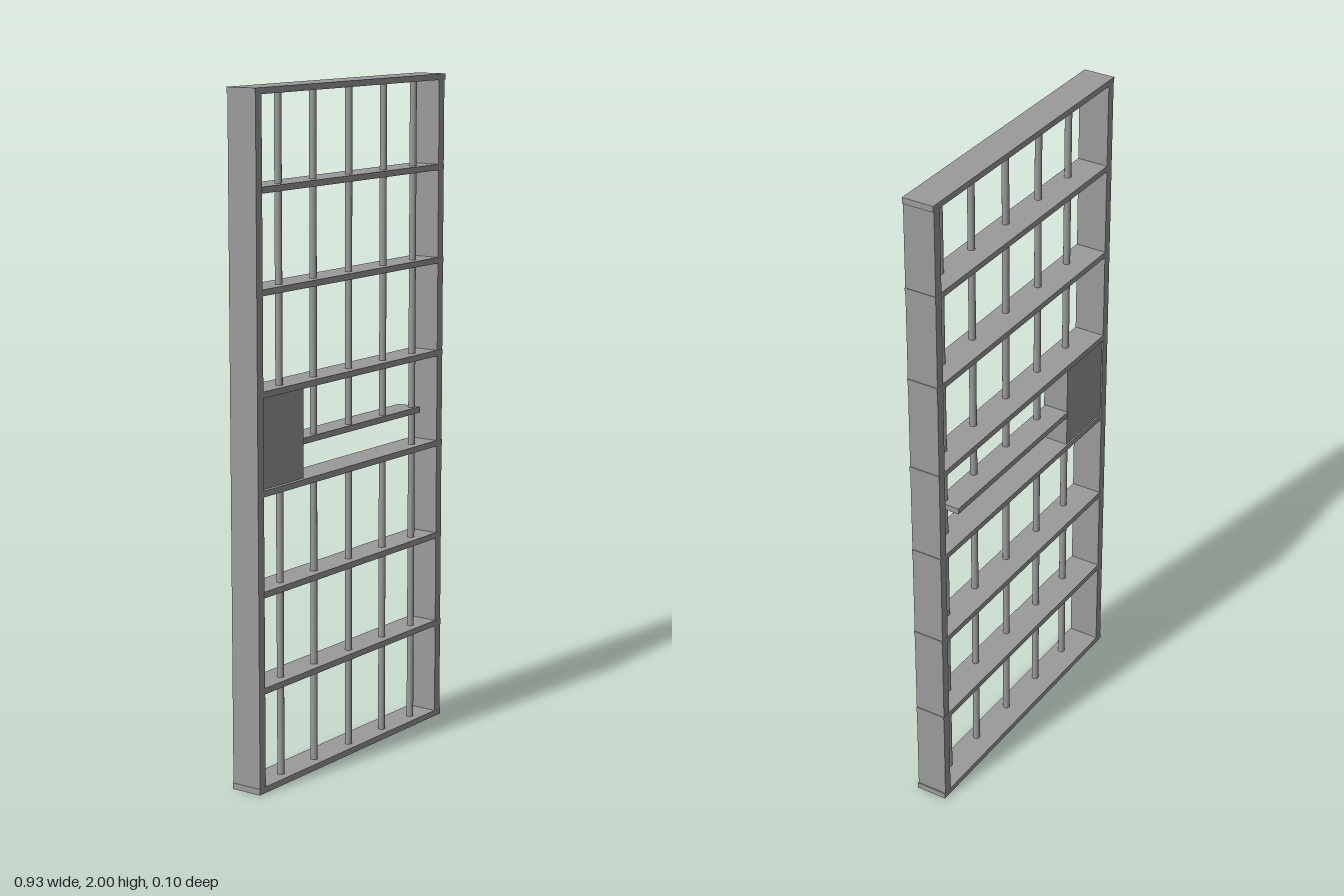
import * as THREE from 'three';

const material = new THREE.MeshStandardMaterial({ color: 0x9b9b9b });

export function createModel() {
  const group = new THREE.Group();

  const add = (name, geometry, x, y, z) => {
    const mesh = new THREE.Mesh(geometry, material);
    mesh.name = name;
    mesh.position.set(x, y, z);
    group.add(mesh);
  };
  // Box given by its x, y and z extents
  const box = (name, x0, x1, y0, y1, z0, z1) =>
    add(name, new THREE.BoxGeometry(x1 - x0, y1 - y0, z1 - z0),
      (x0 + x1) / 2, (y0 + y1) / 2, (z0 + z1) / 2);
  // Round vertical bar, set slightly forward of the middle
  const bar = (name, x, y0, y1) =>
    add(name, new THREE.CylinderGeometry(0.0105, 0.0105, y1 - y0, 16), x, (y0 + y1) / 2, 0.015);

  // Side posts
  box('rightPost', -0.465, -0.438, 0.002, 1.998, -0.048, 0.048);
  box('leftPost', 0.435, 0.463, 0.002, 1.998, -0.048, 0.048);

  // Top and bottom rails
  box('bottomRail', -0.467, 0.467, 0, 0.018, -0.0485, 0.0485);
  box('topRail', -0.467, 0.467, 1.982, 2, -0.0485, 0.0485);

  // Cross rails, let through the left post
  for (const y of [0.302, 0.583, 0.874, 1.155, 1.44, 1.722])
    box('crossRail', -0.44, 0.465, y - 0.009, y + 0.009, -0.0485, 0.0485);

  // Lock box, recessed at the front, and the handle shelf beside it
  box('lockBox', -0.44, -0.236, 0.866, 1.164, -0.044, 0.036);
  box('handleShelf', -0.24, 0.366, 0.98, 0.998, -0.046, 0.033);

  // Vertical bars, interrupted by the lock box and the opening below the shelf
  for (const x of [-0.322, -0.159, 0.015, 0.19]) {
    bar('lowerBar', x, 0.01, 0.874);
    bar('upperBar', x, x < -0.3 ? 1.155 : 0.989, 1.99);
  }
  bar('fullBar', 0.346, 0.01, 1.99);

  return group;
}
